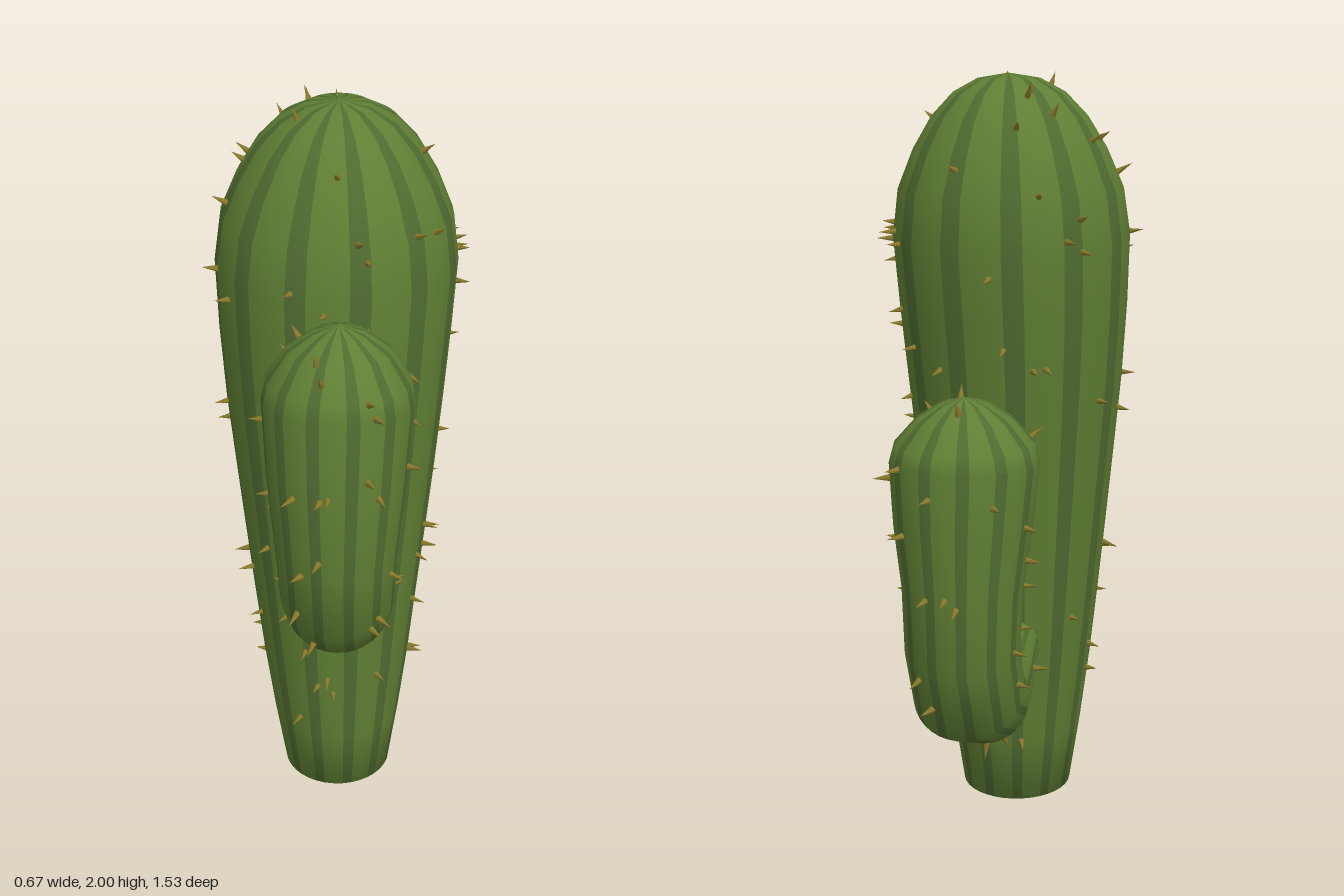
import * as THREE from 'three';
import { mergeGeometries } from 'three/addons/utils/BufferGeometryUtils.js';

const SIDES = 36;
const skin = new THREE.MeshStandardMaterial({ color: 0x607f34 });
const stripe = new THREE.MeshStandardMaterial({ color: 0x506b31 });
const thorn = new THREE.MeshStandardMaterial({ color: 0x8a7a2c });

function seeded(seed) {
  return () => {
    seed = (seed * 16807) % 2147483647;
    return seed / 2147483647;
  };
}

// Sweep round sections [x, y, z, radius] bent in the y-z plane
function sweep(sections) {
  const pos = [], ribs = [], grooves = [];
  const centres = sections.map(([x, y, z]) => new THREE.Vector3(x, y, z));
  const last = sections.length - 1;
  const right = new THREE.Vector3(1, 0, 0);
  sections.forEach((s, i) => {
    const tangent = centres[Math.min(i + 1, last)].clone().sub(centres[Math.max(i - 1, 0)]);
    tangent.x = 0;
    tangent.normalize();
    const side = tangent.clone().cross(right);
    for (let j = 0; j < SIDES; j++) {
      const a = (j / SIDES) * Math.PI * 2;
      const p = centres[i].clone()
        .addScaledVector(right, s[3] * Math.cos(a))
        .addScaledVector(side, s[3] * Math.sin(a));
      pos.push(p.x, p.y, p.z);
    }
  });
  for (let i = 0; i < last; i++) {
    for (let j = 0; j < SIDES; j++) {
      const a = i * SIDES + j, b = i * SIDES + ((j + 1) % SIDES);
      const list = j % 3 === 1 ? grooves : ribs;
      if (sections[i][3] > 0) list.push(a, b, a + SIDES);
      if (sections[i + 1][3] > 0) list.push(b, b + SIDES, a + SIDES);
    }
  }
  const whole = new THREE.BufferGeometry();
  whole.setAttribute('position', new THREE.Float32BufferAttribute(pos, 3));
  whole.setIndex([...ribs, ...grooves]);
  whole.computeVertexNormals();
  // Light skin and dark stripes share the same smooth surface
  const part = (index) => {
    const g = new THREE.BufferGeometry();
    g.setAttribute('position', whole.getAttribute('position'));
    g.setAttribute('normal', whole.getAttribute('normal'));
    g.setIndex(index);
    return g;
  };
  return { whole, ribs: part(ribs), grooves: part(grooves) };
}

// Scatter thorns evenly over the surface, beyond the first rings
function thorns(geometry, count, firstRing, rand) {
  const p = geometry.getAttribute('position');
  const idx = Array.from(geometry.index.array);
  const tris = [];
  for (let k = 0; k < idx.length; k += 3) {
    const ids = [idx[k], idx[k + 1], idx[k + 2]];
    const ring = Math.floor(Math.min(...ids) / SIDES);
    if (ring < firstRing) continue;
    const tri = new THREE.Triangle(...ids.map((n) => new THREE.Vector3().fromBufferAttribute(p, n)));
    tris.push({ tri, ring, area: tri.getArea() });
  }
  tris.sort((a, b) => a.ring - b.ring);
  const total = tris.reduce((sum, t) => sum + t.area, 0);
  const up = new THREE.Vector3(0, 1, 0);
  const cones = [];
  // Regroup each ring in random order so neighbours do not cluster
  tris.forEach((t) => { t.key = t.ring + rand() * 0.9; });
  tris.sort((a, b) => a.key - b.key);
  let n = 0, sum = tris[0].area;
  for (let k = 0; k < count; k++) {
    const target = ((k + rand()) / count) * total;
    while (sum < target && n < tris.length - 1) sum += tris[++n].area;
    const { tri } = tris[n];
    const u = rand(), v = rand() * (1 - u);
    const normal = tri.getNormal(new THREE.Vector3());
    const point = tri.a.clone().multiplyScalar(1 - u - v)
      .addScaledVector(tri.b, u).addScaledVector(tri.c, v);
    const lean = normal.clone();
    lean.x += (rand() - 0.5) * 0.3;
    lean.y += (rand() - 0.5) * 0.3;
    lean.z += (rand() - 0.5) * 0.3;
    const length = 0.045 + rand() * 0.012;
    const cone = new THREE.ConeGeometry(0.011, length, 6);
    cone.translate(0, length / 2 - 0.012, 0);
    cone.applyQuaternion(new THREE.Quaternion().setFromUnitVectors(up, lean.normalize()));
    cone.translate(point.x, Math.min(point.y, 1.955), point.z);
    cones.push(cone);
  }
  return mergeGeometries(cones);
}

function limb(name, sections, count, firstRing, seed) {
  const group = new THREE.Group();
  group.name = name;
  const body = sweep(sections);
  const add = (label, geometry, material) => {
    const mesh = new THREE.Mesh(geometry, material);
    mesh.name = name + label;
    group.add(mesh);
  };
  add('Skin', body.ribs, skin);
  add('Stripes', body.grooves, stripe);
  add('Thorns', thorns(body.whole, count, firstRing, seeded(seed)), thorn);
  return group;
}

export function createModel() {
  const model = new THREE.Group();
  model.name = 'cactus';

  // Trunk widens upward, leans back slightly and closes in a dome
  model.add(limb('trunk', [
    [0.01, 0, 0.07, 0], [0.01, 0.01, 0.07, 0.15], [0.008, 0.2, 0.063, 0.178],
    [0.006, 0.4, 0.055, 0.203], [0.004, 0.6, 0.045, 0.224], [0.003, 0.8, 0.033, 0.245],
    [0.002, 1, 0.022, 0.265], [0, 1.2, 0.008, 0.284], [0, 1.4, -0.008, 0.299],
    [0.002, 1.58, -0.022, 0.308], [0.003, 1.7, -0.026, 0.292], [0.004, 1.8, -0.028, 0.25],
    [0.005, 1.88, -0.028, 0.202], [0.006, 1.94, -0.028, 0.145], [0.007, 1.975, -0.028, 0.08],
    [0.008, 1.988, -0.028, 0],
  ], 95, 2, 41));

  // Upper arm on the front
  model.add(limb('frontArm', [
    [0.03, 0.85, 0.18, 0.1], [0.03, 0.855, 0.27, 0.115], [0.035, 0.85, 0.38, 0.128],
    [0.04, 0.875, 0.48, 0.137], [0.045, 0.96, 0.56, 0.14], [0.045, 1.1, 0.58, 0.147],
    [0.045, 1.3, 0.56, 0.167], [0.045, 1.48, 0.53, 0.178], [0.045, 1.53, 0.525, 0.168],
    [0.045, 1.6, 0.515, 0.12], [0.045, 1.64, 0.51, 0.06], [0.045, 1.66, 0.51, 0],
  ], 44, 1, 977));

  // Lower arm on the back
  model.add(limb('backArm', [
    [-0.02, 0.49, -0.08, 0.08], [-0.02, 0.485, -0.17, 0.09], [-0.022, 0.46, -0.3, 0.11],
    [-0.025, 0.455, -0.42, 0.126], [-0.025, 0.51, -0.53, 0.14], [-0.025, 0.64, -0.58, 0.141],
    [-0.027, 0.8, -0.583, 0.147], [-0.027, 0.95, -0.575, 0.167], [-0.027, 1.1, -0.56, 0.18],
    [-0.027, 1.15, -0.56, 0.168], [-0.027, 1.21, -0.56, 0.115], [-0.027, 1.245, -0.56, 0.058],
    [-0.027, 1.26, -0.56, 0],
  ], 42, 1, 5309));

  return model;
}
